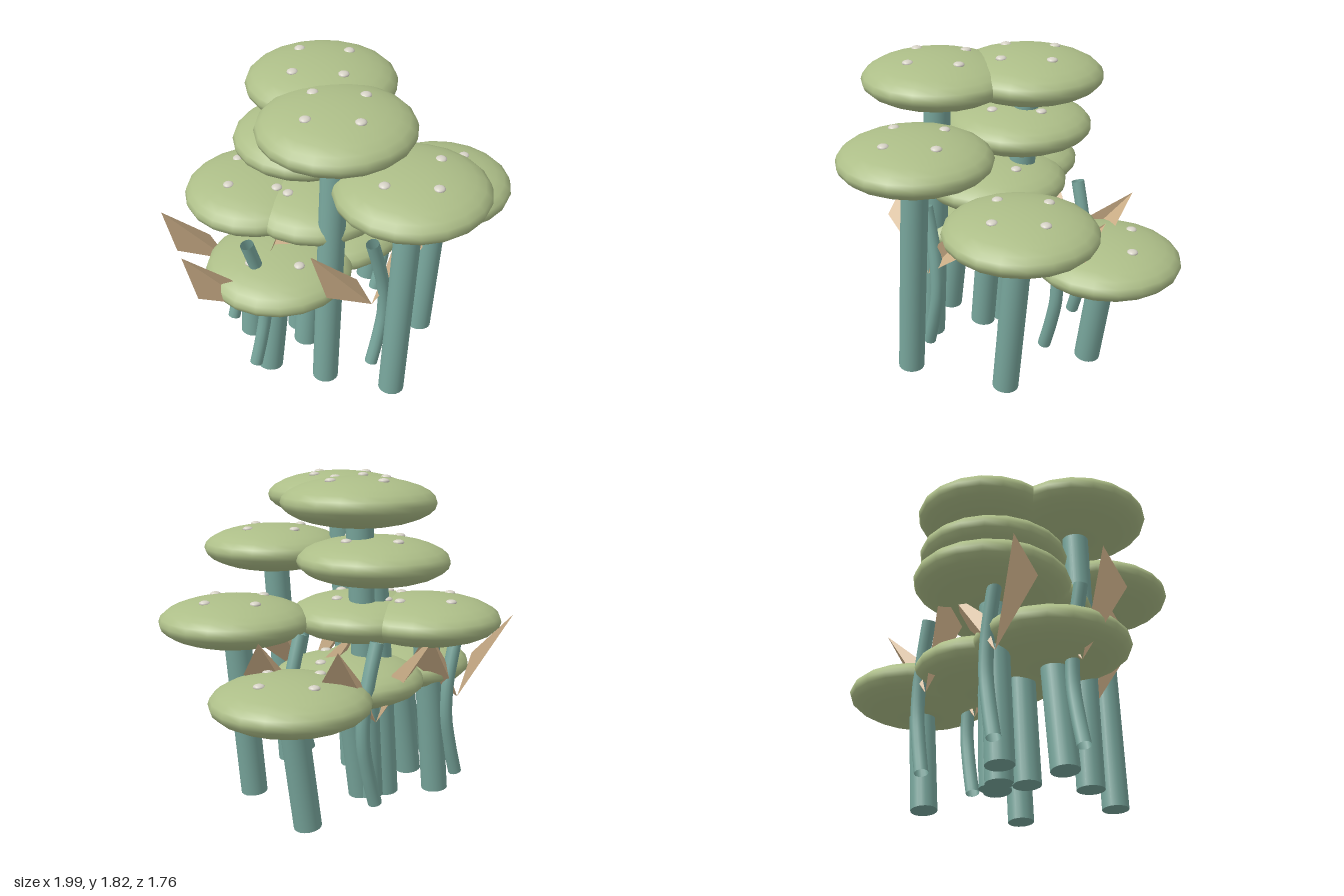
import * as THREE from 'three';

const material = (name, color, extra = {}) => {
  const m = new THREE.MeshStandardMaterial({ color, ...extra });
  m.name = name;
  return m;
};

export function createModel() {
  const root = new THREE.Group();
  root.name = 'mushroomCluster';

  const capGreen = material('capGreen', 0xadbe88);
  const stemTeal = material('stemTeal', 0x78a69c, { side: THREE.DoubleSide });
  const leafTan = material('leafTan', 0xd2b48c, { side: THREE.DoubleSide });
  const spotCream = material('spotCream', 0xd6d2c6);

  const add = (parent, name, geometry, mat, x = 0, y = 0, z = 0) => {
    const mesh = new THREE.Mesh(geometry, mat);
    mesh.name = name;
    mesh.position.set(x, y, z);
    parent.add(mesh);
    return mesh;
  };

  // Shared cap and spot shapes
  const R = 0.418, H = 0.135, LEAN = 0.108, SPOT = 0.193;
  const capGeometry = new THREE.SphereGeometry(1, 20, 14).scale(R, H, R);
  const spotGeometry = new THREE.SphereGeometry(0.031, 12, 8).scale(1, 0.5, 1);
  const spotY = H * Math.sqrt(1 - (SPOT / R) ** 2) - 0.002;

  // Mushrooms: cap centre x, y, z
  const mushrooms = [
    [-0.225, 1.68, 0.135], [0.02, 1.68, -0.303],
    [0.012, 1.36, 0.46], [-0.075, 1.36, -0.32],
    [0.511, 1.03, 0.153], [-0.335, 1.03, -0.463], [-0.125, 1.03, -0.186],
    [0.576, 0.712, -0.428], [-0.425, 0.712, -0.15], [0.05, 0.712, -0.26],
  ];
  for (const [x, y, z] of mushrooms) {
    const mushroom = new THREE.Group();
    mushroom.name = 'mushroom';
    mushroom.position.set(x, y, z);
    root.add(mushroom);
    add(mushroom, 'cap', capGeometry, capGreen);
    for (let i = 0; i < 4; i++) {
      const a = i * Math.PI / 2;
      add(mushroom, 'spot', spotGeometry, spotCream, SPOT * Math.cos(a), spotY, SPOT * Math.sin(a));
    }
    // Stem leaning sideways by the same distance at any height
    const drop = y - 0.01;
    const stem = add(mushroom, 'stem',
      new THREE.CylinderGeometry(0.075, 0.075, Math.hypot(drop, LEAN), 20), stemTeal,
      -LEAN / 2, -drop / 2, 0);
    stem.rotation.z = -Math.atan2(LEAN, drop);
  }

  // Bowed shoot, open at both ends
  const bow = new THREE.CatmullRomCurve3([
    [0, 0.11], [0.05, 0.28], [0.088, 0.46], [0.085, 0.64], [0.05, 0.81], [0, 0.99],
  ].map(([x, y]) => new THREE.Vector3(x, y, 0)));
  const shootGeometry = new THREE.TubeGeometry(bow, 20, 0.038, 12, false);

  // Folded leaf: base, outer low corner, tip, inner corner
  const leaf = (side) => {
    const base = [0, 0.56, 0], low = [0.345 * side, 0.82, 0.035];
    const tip = [0.345 * side, 1.01, -0.1], inner = [0.11 * side, 0.8, 0];
    const g = new THREE.BufferGeometry();
    const tris = side > 0 ? [base, low, tip, base, tip, inner] : [base, tip, low, base, inner, tip];
    g.setAttribute('position', new THREE.Float32BufferAttribute(tris.flat(), 3));
    g.computeVertexNormals();
    return g;
  };
  const leaves = [leaf(1), leaf(-1)];

  // Shoots: base x, z
  for (const [x, z] of [[-0.652, -0.118], [0.148, -0.6], [0.335, -0.2], [-0.122, 0.307], [-0.525, -0.545]]) {
    const shoot = new THREE.Group();
    shoot.name = 'leafyShoot';
    shoot.position.set(x, 0, z);
    root.add(shoot);
    add(shoot, 'shootStem', shootGeometry, stemTeal);
    leaves.forEach((g, i) => add(shoot, i ? 'rightLeaf' : 'leftLeaf', g, leafTan));
  }

  return root;
}
